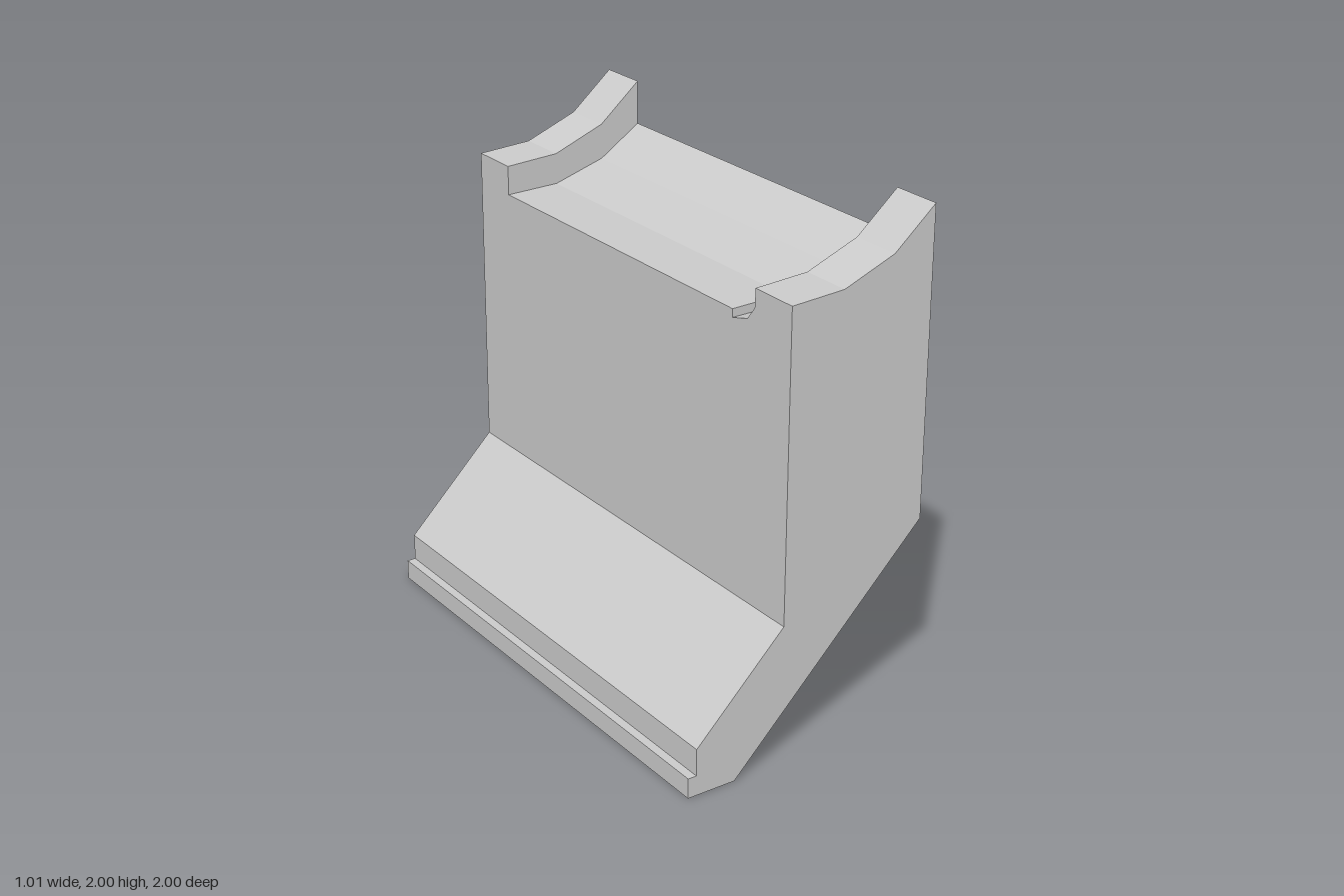
import * as THREE from 'three';

// Cross-section outline, anticlockwise seen from +z: x, y, and drop of the saddle there
const outline = [
  [-0.505, 0, 0], [-0.305, 0, 0], [0.505, 0.812, 0],
  [0.505, 2, 0.173], [0.333, 1.853, 0.14], [0.12, 1.77, 0.122], [-0.1, 1.758, 0.115],
  [-0.1, 0.557, 0], [-0.47, 0.187, 0], [-0.47, 0.08, 0], [-0.505, 0.08, 0],
];

// Stations from front to back: z, and how far the top sinks (0 = end rib, 1 = saddle)
const stations = [
  [1, 0], [0.797, 0], [0.797, 0.6], [0.78, 0.8], [0.755, 1.07], [0.67, 1.28], // rib and curved groove
  [0.67, 1], [-0.797, 1], // saddle
  [-0.797, 0], [-1, 0], // rear rib
];

function loftBlock() {
  const positions = [];
  const rings = stations.map(([z, k]) => outline.map(([x, y, d]) => new THREE.Vector3(x, y - k * d, z)));
  const tri = (...points) => points.forEach((p) => positions.push(p.x, p.y, p.z));
  const n = outline.length;

  // Skin between neighbouring sections; at a step only the top edges make a wall
  for (let s = 0; s + 1 < rings.length; s++) {
    const a = rings[s], b = rings[s + 1];
    const isStep = a[0].z === b[0].z;
    for (let i = 0; i < n; i++) {
      const j = (i + 1) % n;
      if (isStep && !(outline[i][2] && outline[j][2])) continue;
      tri(a[i], b[i], b[j]);
      tri(a[i], b[j], a[j]);
    }
  }

  // Flat end caps
  const front = rings[0], back = rings[rings.length - 1];
  const faces = THREE.ShapeUtils.triangulateShape(front.map((p) => new THREE.Vector2(p.x, p.y)), []);
  for (const [i, j, k] of faces) {
    tri(front[i], front[j], front[k]);
    tri(back[k], back[j], back[i]);
  }

  const geometry = new THREE.BufferGeometry();
  geometry.setAttribute('position', new THREE.Float32BufferAttribute(positions, 3));
  geometry.computeVertexNormals();
  return geometry;
}

export function createModel() {
  const model = new THREE.Group();
  model.name = 'saddleBracket';
  const material = new THREE.MeshStandardMaterial({ color: 0xcccccc, flatShading: true });
  const block = new THREE.Mesh(loftBlock(), material);
  block.name = 'bracketBlock';
  model.add(block);
  return model;
}
